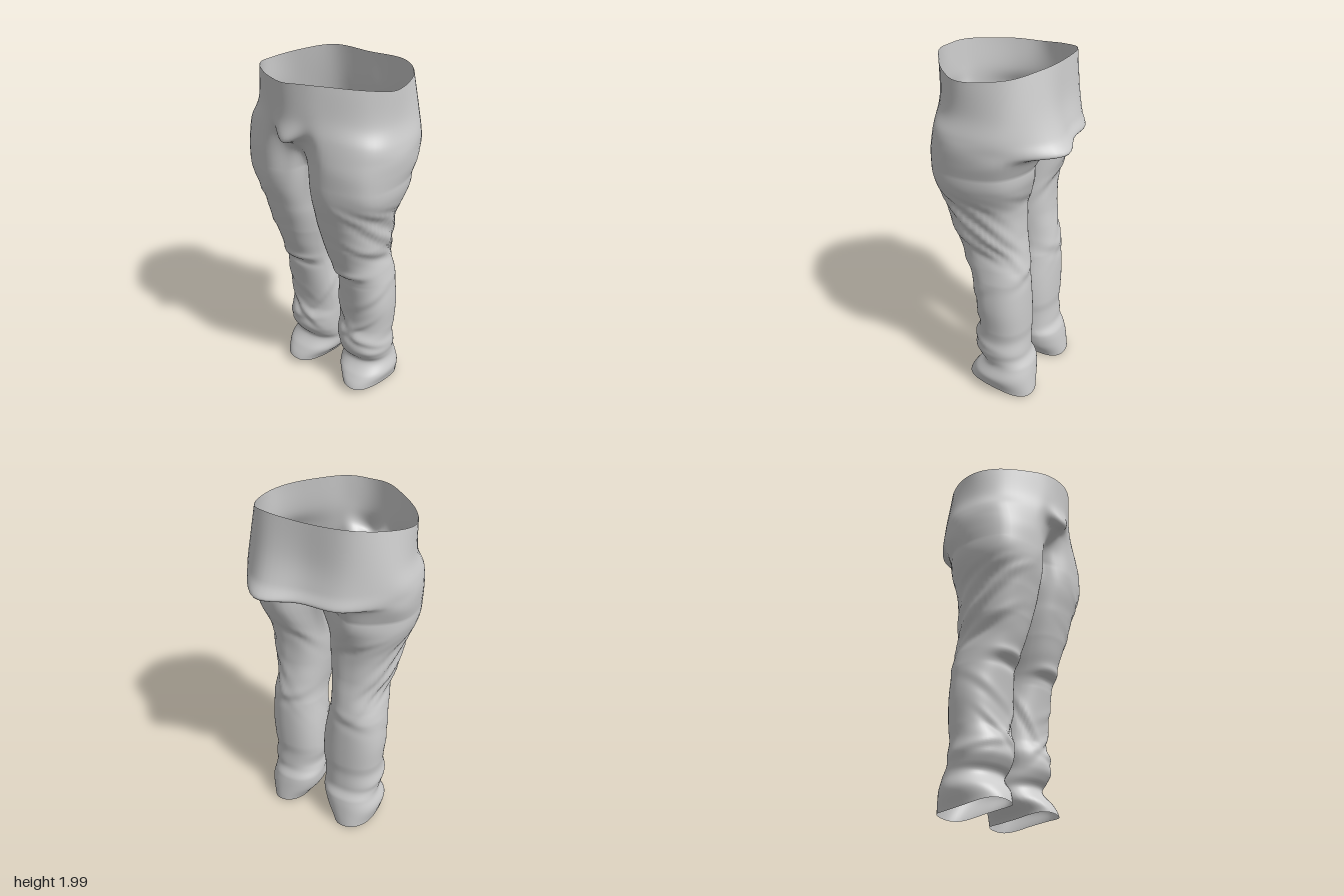
import * as THREE from 'three';
import { mergeGeometries, mergeVertices } from 'three/addons/utils/BufferGeometryUtils.js';

// Hip rings, waist to crotch: half outline from centre front round the side to centre back (x, y, z)
const HIPS = [
  [[0, 1.98, .40], [.1, 1.985, .38], [.2, 1.98, .325], [.36, 1.96, .19], [.428, 1.945, .05], [.37, 1.965, -.165], [.23, 1.99, -.268], [0, 1.985, -.28]],
  [[0, 1.80, .392], [.1, 1.82, .37], [.2, 1.82, .32], [.37, 1.78, .2], [.432, 1.78, .05], [.4, 1.78, -.18], [.23, 1.79, -.315], [0, 1.79, -.30]],
  [[0, 1.685, .412], [.1, 1.73, .36], [.2, 1.71, .33], [.4, 1.68, .23], [.46, 1.67, .06], [.425, 1.67, -.175], [.23, 1.66, -.365], [0, 1.66, -.335]],
  [[0, 1.66, .35], [.08, 1.66, .325], [.2, 1.62, .335], [.4, 1.6, .25], [.47, 1.6, .06], [.425, 1.6, -.175], [.23, 1.585, -.415], [0, 1.59, -.36]],
  [[0, 1.59, .27], [.07, 1.57, .30], [.2, 1.55, .337], [.4, 1.53, .26], [.465, 1.52, .06], [.42, 1.54, -.17], [.22, 1.568, -.305], [0, 1.58, -.25]],
  [[0, 1.50, .22], [.07, 1.47, .295], [.2, 1.46, .335], [.4, 1.45, .26], [.455, 1.45, .06], [.4, 1.46, -.15], [.21, 1.48, -.24], [0, 1.52, -.14]],
];

// Leg sections: y, inner x (right leg), inner x (left leg), outer x, back z, front z
const LEG = [
  [1.50, 0, 0, .455, -.235, .335], [1.38, 0, 0, .43, -.2, .322], [1.2, 0, .005, .385, -.168, .28],
  [1.05, .012, .02, .362, -.17, .238], [.95, .025, .035, .335, -.185, .205], [.85, .03, .05, .345, -.2, .165],
  [.78, .02, .05, .355, -.205, .13], [.6, -.005, .035, .365, -.21, .102], [.45, -.01, .03, .355, -.21, .088],
  [.38, -.005, .03, .35, -.205, .11], [.3, 0, .045, .36, -.21, .11], [.25, .005, .04, .35, -.215, .085],
  [.2, .012, .038, .347, -.24, .055], [.12, .03, .05, .37, -.255, .115], [.035, .09, .11, .348, -.268, .155],
];

// Cloth folds: height at the centre angle, slope per radian, depth, width, centre angle, angular spread
const FOLDS = [
  [1.37, .19, .008, .045, .2, 1.1], [1.23, .2, .012, .05, .1, 1.3], [1.08, .19, .012, .045, 0, 1.2],
  [.99, .1, .008, .035, .3, 1], [.83, 0, .020, .035, 1.6, .6], [.64, -.1, .006, .04, .9, .8],
  [.53, .2, .010, .045, 2.2, .7], [.43, -.12, .012, .035, 1.4, .6], [.35, .04, .008, .03, 1, 1],
  [1.3, .15, .009, .045, -1.5, .8], [.8, -.05, .006, .045, -1.6, .8],
];

const HALF = 42, INNER = 18, HIP_ROWS = 36, LEG_ROWS = 140, TOP = 1.48, HEM = .035;
const { lerp, clamp, smoothstep, degToRad, euclideanModulo } = THREE.MathUtils;
const curve = (points, closed) => new THREE.CatmullRomCurve3(points, closed, 'catmullrom', .5);

// Skin a list of closed rings; flip reverses the winding for mirrored parts
function skin(rings, flip) {
  const n = rings[0].length, index = [];
  for (let j = 0; j < rings.length - 1; j++) {
    for (let i = 0; i < n; i++) {
      const a = j * n + i, c = j * n + (i + 1) % n, b = a + n, d = c + n;
      index.push(...(flip ? [a, c, b, c, d, b] : [a, b, c, c, b, d]));
    }
  }
  const geometry = new THREE.BufferGeometry().setFromPoints(rings.flat());
  geometry.setIndex(index);
  return geometry;
}

// The right side of the seat is slimmer and sags less
function rightSide(p) {
  let z = p.z;
  if (p.x > .35 && z < -.1) z += .045;
  else if (z < -.255) z = -.255 + (z + .255) * .42;
  return new THREE.Vector3(-p.x, p.y, z);
}

function hipRings() {
  const sampled = HIPS.map(row => {
    const left = row.map(p => new THREE.Vector3(...p));
    const right = left.slice(1, -1).reverse().map(rightSide);
    const ring = curve([...left, ...right], true);
    return Array.from({ length: HALF * 2 }, (_, i) => ring.getPoint(i / (HALF * 2)));
  });
  const columns = sampled[0].map((_, i) => curve(sampled.map(r => r[i]), false).getPoints(HIP_ROWS));
  return Array.from({ length: HIP_ROWS + 1 }, (_, j) => columns.map(c => c[j]));
}

// Smoothly interpolated leg section at height y
function section(y) {
  let k = 0;
  while (k < LEG.length - 2 && y < LEG[k + 1][0]) k++;
  const t = clamp((LEG[k][0] - y) / (LEG[k][0] - LEG[k + 1][0]), 0, 1);
  const at = i => LEG[clamp(i, 0, LEG.length - 1)];
  return LEG[k].map((v, c) => {
    const m0 = (at(k + 1)[c] - at(k - 1)[c]) / 2, m1 = (at(k + 2)[c] - v) / 2;
    const t2 = t * t, t3 = t2 * t;
    return (2 * t3 - 3 * t2 + 1) * v + (t3 - 2 * t2 + t) * m0 + (3 * t2 - 2 * t3) * at(k + 1)[c] + (t3 - t2) * m1;
  });
}

// Each fold is a ridge above a groove, fading away from its centre angle
function foldDepth(a, y, side) {
  let d = 0;
  for (const [y0, slope, depth, width, a0, spread] of FOLDS) {
    const turn = euclideanModulo(a - a0 + Math.PI, 2 * Math.PI) - Math.PI;
    const u = (y - y0 - slope * turn - side * .012) / width;
    d += depth * 1.6 * u * Math.exp(-u * u - (turn / spread) ** 2);
  }
  return d;
}

// One leg, starting on half the crotch ring and the seam that bridges it
function legRings(crotch, side) {
  const top = [];
  for (let i = 0; i <= HALF; i++) top.push(crotch[(side * i + HALF * 2) % (HALF * 2)]);
  const back = top[HALF], front = top[0];
  for (let i = 1; i < INNER; i++) {
    const p = back.clone().lerp(front, i / INNER);
    p.y -= .05 * Math.sin(Math.PI * i / INNER);
    top.push(p);
  }
  const round = (v, power) => Math.sign(v) * Math.abs(v) ** power;
  const rings = [];
  for (let j = 0; j <= LEG_ROWS; j++) {
    const y = lerp(TOP, HEM, j / LEG_ROWS);
    const [, inR, inL, out, zb, zf] = section(y);
    const inner = side > 0 ? inL : inR;
    const blend = smoothstep(TOP - y, 0, .25);
    const hem = smoothstep(.16 - y, 0, .13);
    // thighs press flat against each other
    const press = lerp(.88, .7, smoothstep(y, .85, 1.2));
    rings.push(top.map((p, i) => {
      const a = degToRad(i <= HALF ? 150 - 300 * i / HALF : -150 - 60 * (i - HALF) / INNER);
      const d = foldDepth(a, y, side) * blend;
      const cos = Math.cos(a);
      const x = (inner + out) / 2 + ((out - inner) / 2 + d) * round(cos, cos < 0 ? press : .88);
      const z = (zb + zf) / 2 + ((zf - zb) / 2 + d) * round(Math.sin(a), .88);
      const wave = hem * (.008 * Math.sin(3 * a + side) + .024 * Math.sin(a) - (side < 0 ? .006 : 0));
      return new THREE.Vector3(
        lerp(p.x, side * x, blend),
        y + (p.y - TOP) * (1 - blend) + wave,
        lerp(p.z, z, blend));
    }));
  }
  return rings;
}

export function createModel() {
  const hips = hipRings();
  const crotch = hips[HIP_ROWS];
  // hips and both legs are welded so the cloth shades as one piece
  const parts = [skin(hips, false), skin(legRings(crotch, 1), false), skin(legRings(crotch, -1), true)];
  const geometry = mergeVertices(mergeGeometries(parts), 1e-4);
  geometry.computeVertexNormals();
  geometry.computeBoundingBox();
  geometry.translate(0, -geometry.boundingBox.min.y, 0);

  const trousers = new THREE.Mesh(geometry,
    new THREE.MeshStandardMaterial({ color: 0xcccccc, side: THREE.DoubleSide }));
  trousers.name = 'trousers';
  const group = new THREE.Group();
  group.name = 'trousersModel';
  group.add(trousers);
  return group;
}
